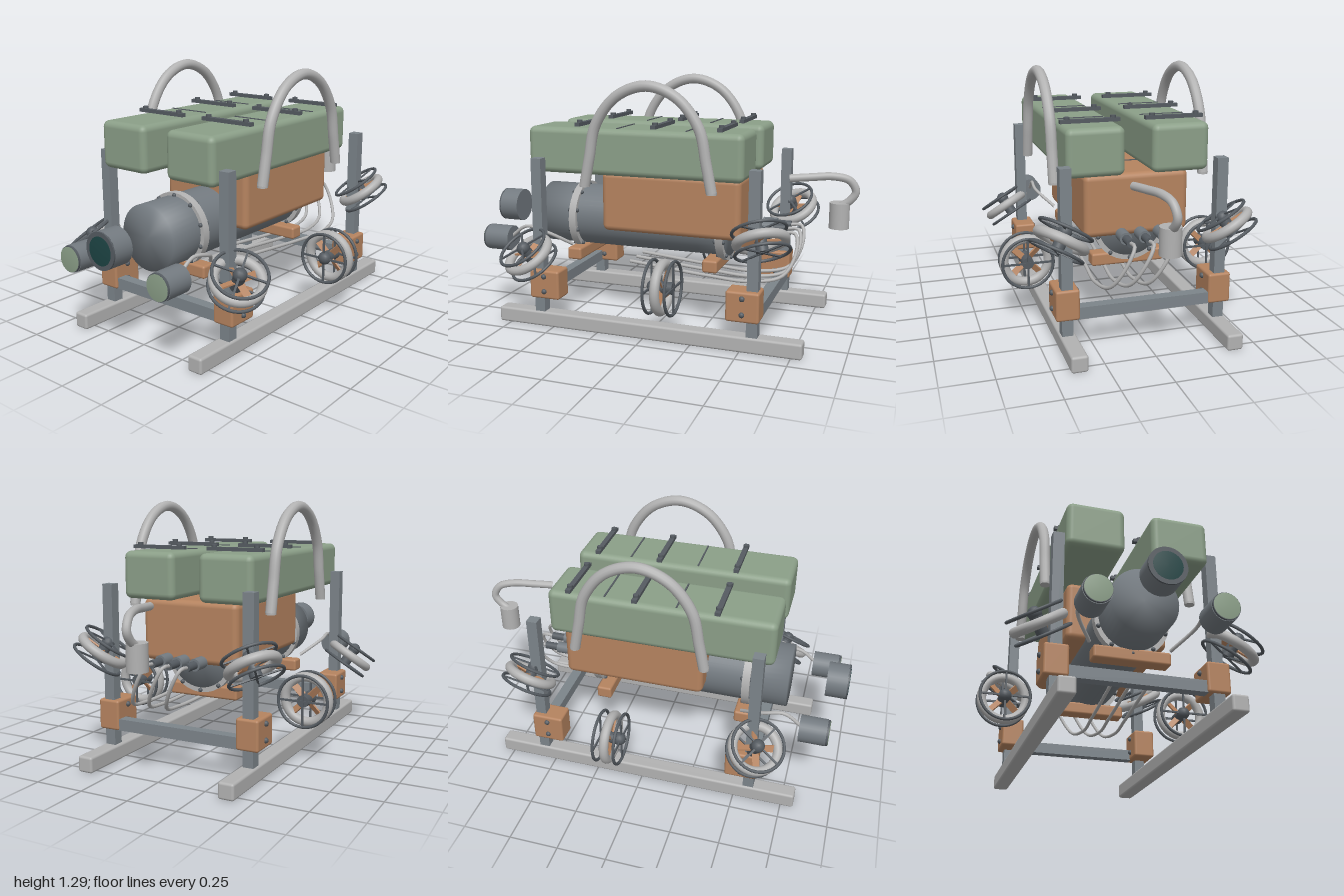
import * as THREE from 'three';
import { RoundedBoxGeometry } from 'three/addons/geometries/RoundedBoxGeometry.js';

const paint = (name, color) => Object.assign(new THREE.MeshStandardMaterial({ color }), { name });
const M = {
  light: paint('light grey', 0xb2b2b2),
  steel: paint('steel grey', 0x7c848a),
  hull: paint('hull grey', 0x737a80),
  dark: paint('dark grey', 0x555b61),
  orange: paint('copper orange', 0xb5835f),
  green: paint('sage green', 0x8b9f88),
  lens: paint('dark teal', 0x1d4444),
};

export function createModel() {
  const root = new THREE.Group();
  const add = (name, geo, mat, x = 0, y = 0, z = 0, parent = root) => {
    const m = new THREE.Mesh(geo, mat);
    m.name = name;
    m.position.set(x, y, z);
    parent.add(m);
    return m;
  };
  const box = (w, h, d) => new THREE.BoxGeometry(w, h, d);
  const rbox = (w, h, d, r) => new RoundedBoxGeometry(w, h, d, 3, r);
  const ball = (r) => new THREE.SphereGeometry(r, 14, 10);
  const tube = (pts, r, n = 48) => new THREE.TubeGeometry(
    new THREE.CatmullRomCurve3(pts.map((p) => new THREE.Vector3(...p))), n, r, 12);
  const cylZ = (r, len) => new THREE.CylinderGeometry(r, r, len, 32).rotateX(Math.PI / 2);
  // Solid of revolution about z, softly shaded over its ends; pts are [radius, z] with z rising
  const turned = (pts) => new THREE.LatheGeometry(
    pts.map((p) => new THREE.Vector2(...p)), 40).rotateX(Math.PI / 2);

  // Pressure hull with bolted flanges
  add('hull', turned([[0, -0.35], [0.165, -0.35], [0.165, -0.2], [0.165, 0.5], [0.165, 0.7], [0, 0.7]]), M.hull, 0, 0.53);
  for (const z of [0.49, -0.325]) {
    add('hullFlange', cylZ(0.186, 0.04), M.light, 0, 0.525, z);
    for (let i = 0; i < 10; i++) {
      const a = ((i + 0.5) / 10) * Math.PI * 2;
      for (const s of [-1, 1])
        add('flangeBolt', ball(0.011), M.dark, Math.cos(a) * 0.174, 0.525 + Math.sin(a) * 0.174, z + s * 0.022);
    }
  }
  for (const z of [0.48, -0.282]) add('hullSaddle', rbox(0.38, 0.066, 0.08, 0.012), M.orange, 0, 0.342, z);

  // Equipment housing and its top plate
  add('equipmentBox', rbox(0.524, 0.31, 0.737, 0.03), M.orange, 0, 0.66, -0.088);
  add('topPlate', rbox(0.14, 0.03, 0.13, 0.008), M.steel, 0, 0.832, 0.045);
  for (const z of [-0.195, 0.155]) add('boxSeam', box(0.48, 0.006, 0.008), M.dark, 0, 0.816, z);

  // Front camera
  add('cameraBody', cylZ(0.09, 0.105), M.hull, 0, 0.547, 0.938);
  add('cameraBezel', cylZ(0.09, 0.01), M.dark, 0, 0.547, 0.993);
  add('cameraLens', turned([[0.068, -0.004], [0.068, 0.002], [0, 0.002]]), M.lens, 0, 0.547, 0.998);

  // Guarded propeller: thick duct, two wire guards, hub and blades, axis along local z
  const thruster = (x, y, z, axis) => {
    const g = new THREE.Group();
    g.name = 'thruster';
    add('duct', new THREE.TorusGeometry(0.115, 0.024, 14, 40), M.light, 0, 0, 0, g);
    for (const s of [-1, 1]) {
      add('guardRing', new THREE.TorusGeometry(0.13, 0.008, 8, 40), M.dark, 0, 0, s * 0.055, g);
      for (let i = 0; i < 2; i++)
        add('guardSpoke', box(0.26, 0.01, 0.008), M.dark, 0, 0, s * 0.055, g).rotation.z = i * Math.PI / 2;
    }
    add('hub', cylZ(0.03, 0.11), M.dark, 0, 0, 0, g);
    add('hubCap', ball(0.034), M.dark, 0, 0, 0.045, g);
    for (let i = 0; i < 4; i++) {
      const blade = box(0.085, 0.034, 0.008).rotateX(0.55).translate(0.06, 0, 0);
      add('blade', blade, M.orange, 0, 0, 0, g).rotation.z = Math.PI / 4 + i * Math.PI / 2;
    }
    g.position.set(x, y, z);
    g.quaternion.setFromUnitVectors(new THREE.Vector3(0, 0, 1), new THREE.Vector3(...axis).normalize());
    root.add(g);
  };

  for (const s of [-1, 1]) {
    // Skid, posts and clamp blocks
    add('skid', rbox(0.08, 0.08, 1.62, 0.012), M.light, s * 0.38, 0.04, 0.005);
    for (const [post, clamp] of [[0.575, 0.533], [-0.56, -0.517]]) {
      add('post', box(0.055, 0.82, 0.055), M.steel, s * 0.383, 0.48, post);
      add('clampBlock', rbox(0.115, 0.152, 0.165, 0.012), M.orange, s * 0.382, 0.236, clamp);
      for (const y of [0.2, 0.28])
        for (const t of [-1, 1])
          add('clampBolt', ball(0.014), M.dark, s * 0.382 + t * 0.058, y, clamp);
    }

    // Buoyancy block with straps and seams
    add('float', rbox(0.287, 0.236, 1.135, 0.032), M.green, s * 0.211, 0.929, 0.077);
    for (const z of [0.363, -0.04, -0.375]) {
      add('strap', box(0.295, 0.018, 0.026), M.dark, s * 0.211, 1.064, z);
      for (const dx of [-0.113, 0.113])
        add('strapBolt', new THREE.CylinderGeometry(0.014, 0.014, 0.014, 12), M.dark, s * 0.211 + dx, 1.078, z);
    }
    for (const z of [0.16, -0.2]) add('floatSeam', box(0.23, 0.008, 0.008), M.dark, s * 0.211, 1.047, z);

    // Lifting hoop
    const half = [[0.33, 0.765], [0.303, 0.9], [0.265, 1.07], [0.155, 1.21]];
    const hoop = [...half, [0, 1.264], ...half.map(([z, y]) => [-z, y]).reverse()];
    add('liftHoop', tube(hoop.map(([z, y]) => [s * 0.384, y, z - 0.016]), 0.027, 64), M.light);
    for (const [z, y] of [half[0], [-half[0][0], half[0][1]]])
      add('hoopEnd', new THREE.CylinderGeometry(0.026, 0.026, 0.012, 16), M.light, s * 0.384, y, z - 0.016);

    // Thrusters: side pair faces forward, corner sets are tilted
    thruster(s * 0.49, 0.312, -0.137, [0, 0, 1]);
    thruster(s * 0.465, 0.4, 0.603, [s * 0.6, 1, 0.4]);
    thruster(s * 0.41, 0.56, -0.595, [-s * 0.6, 1, 0.35]);

    // Lamp on a bent stalk
    add('lampBody', cylZ(0.068, 0.135), M.hull, s * 0.286, 0.427, 0.86);
    add('lampBezel', cylZ(0.065, 0.012), M.dark, s * 0.286, 0.427, 0.932);
    add('lampLens', turned([[0.062, -0.004], [0.062, 0.003], [0, 0.003]]), M.green, s * 0.286, 0.427, 0.938);
    add('lampStalk', tube([[s * 0.286, 0.44, 0.8], [s * 0.288, 0.5, 0.71], [s * 0.288, 0.48, 0.6], [s * 0.2, 0.4, 0.48]], 0.009), M.light);
  }

  // Cross members
  for (const z of [0.575, -0.565]) add('crossBar', box(0.76, 0.058, 0.055), M.steel, 0, 0.19, z);

  // Rear connectors with cables looping under the hull
  for (const x of [-0.095, 0, 0.093]) {
    add('connector', cylZ(0.03, 0.075), M.hull, x, 0.53, -0.535);
    add('connectorNose', cylZ(0.02, 0.09), M.dark, x, 0.53, -0.6);
    add('cable', tube([[x, 0.53, -0.63], [x, 0.53, -0.7], [x + 0.04, 0.45, -0.715], [x + 0.1, 0.335, -0.66],
      [x + 0.13, 0.3, -0.5], [x + 0.12, 0.305, -0.28], [x + 0.1, 0.335, 0.15]], 0.009), M.light);
  }

  // Rear gooseneck with its camera
  add('gooseneck', tube([[0.088, 0.808, -0.66], [0.06, 0.815, -0.76], [0.03, 0.82, -0.87], [0.01, 0.8, -0.945],
    [0, 0.745, -0.976], [0, 0.7, -0.95], [0, 0.67, -0.91]], 0.02), M.light);
  add('rearCamera', new THREE.CylinderGeometry(0.05, 0.05, 0.13, 24), M.light, 0, 0.62, -0.9);

  return root;
}
